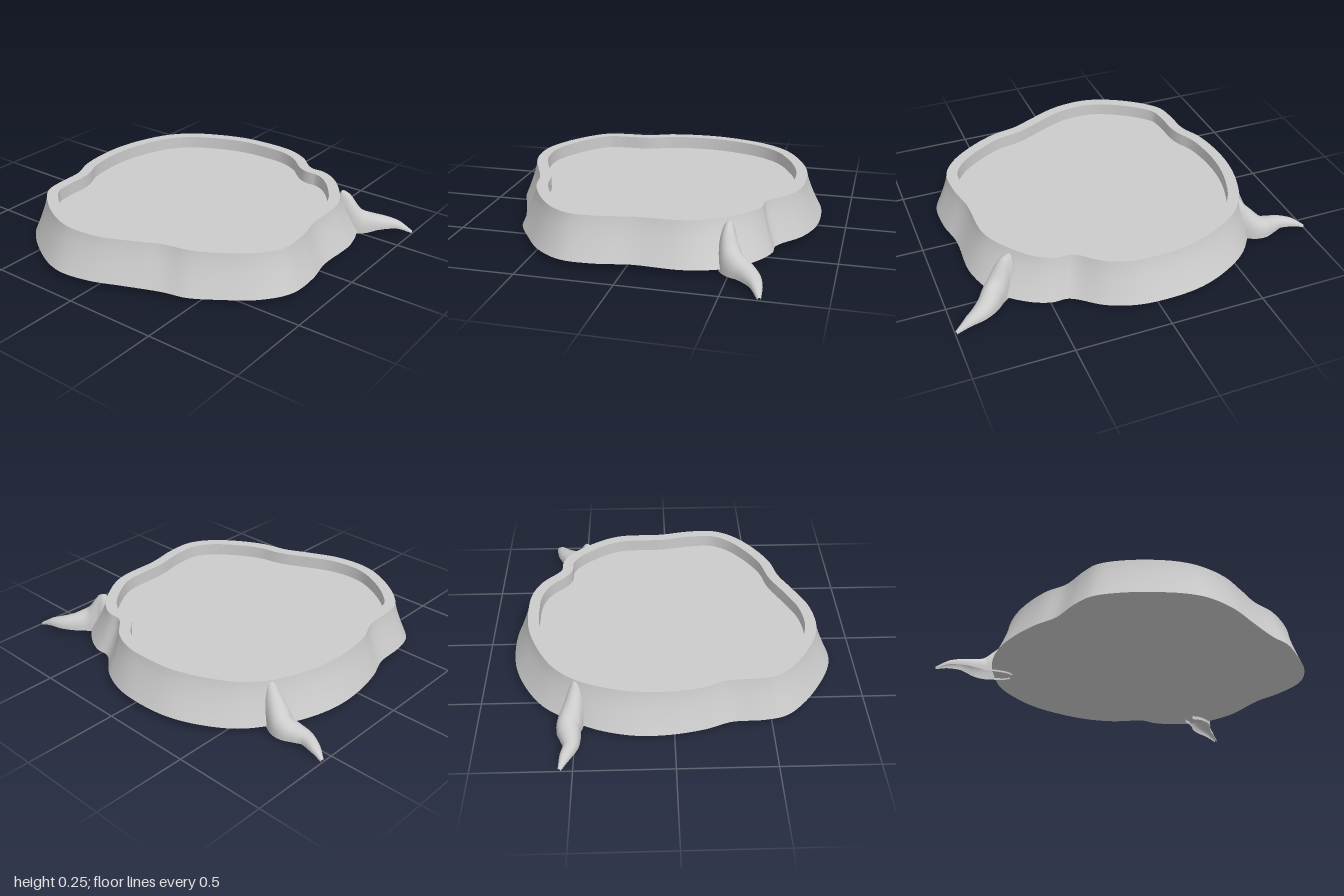
import * as THREE from 'three';

const V = (x, y, z) => new THREE.Vector3(x, y, z);
const grey = new THREE.MeshStandardMaterial({ color: 0xcccccc, side: THREE.DoubleSide });
const N = 192; // samples around the outline

// Rim and foot outlines as x, z pairs in hundredths, matched point for point
const RIM = [77.5, -1.5, 76.5, 13, 71.5, 25, 61.5, 37, 61, 45, 57, 53.5, 46, 64, 29.5, 73, 3, 74.5, -13, 77.5, -29, 77.5,
  -40.5, 71, -51, 58.5, -59.5, 42.5, -63, 28, -69.5, 14, -76, -1.5, -78, -17.5, -76, -29, -69.5, -42.5, -60.5, -54.5,
  -52, -61.5, -42, -63.5, -26, -64.5, -14, -69.5, 3, -72, 19, -71.5, 34.5, -68, 49.5, -61.5, 61, -51.5, 70, -36, 76, -18.5];
const FOOT = [86, -4, 84.5, 12, 79, 26.5, 68, 41.5, 67.5, 50.5, 62.5, 61.5, 50.5, 74.5, 30.5, 82, 3, 82, -13, 85, -32, 84.5,
  -47, 75, -58.5, 60, -67, 46, -70, 33.5, -77.5, 14, -84, -2.5, -86.5, -19.5, -84, -31, -76.5, -45.5, -67.5, -58,
  -57.5, -67, -46, -70, -29, -71, -15.5, -76, 3, -79.5, 20, -79.5, 38, -75, 54, -66.5, 67.5, -56, 77.5, -41, 84, -24];

// Smooth closed ring through matched control points
function ring(data) {
  const pts = [];
  for (let i = 0; i < data.length; i += 2) pts.push(V(data[i] / 100, 0, data[i + 1] / 100));
  const curve = new THREE.CatmullRomCurve3(pts, true, 'centripetal');
  return Array.from({ length: N }, (_, i) => curve.getPoint(i / N));
}

// Moves a ring inwards along its normals
function inset(points, d) {
  return points.map((p, i) => {
    const t = points[(i + 2) % N].clone().sub(points[(i + N - 2) % N]).normalize();
    return V(p.x - t.z * d, 0, p.z + t.x * d);
  });
}

// Skins a list of equally long point rows into one smooth surface
function skin(rows, closed) {
  const n = rows[0].length, pos = [], idx = [];
  const cols = closed ? n : n - 1;
  rows.forEach(r => r.forEach(p => pos.push(p.x, p.y, p.z)));
  for (let r = 0; r < rows.length - 1; r++) {
    for (let i = 0; i < cols; i++) {
      const j = (i + 1) % n;
      const a = r * n + i, b = r * n + j, c = a + n, d = b + n;
      idx.push(a, c, b, b, c, d);
    }
  }
  const g = new THREE.BufferGeometry();
  g.setAttribute('position', new THREE.Float32BufferAttribute(pos, 3));
  g.setIndex(idx);
  g.computeVertexNormals();
  return g;
}

// Horizontal plate filling a ring, facing up or down
function plate(points, y, up, hole) {
  const flat = r => r.map(p => new THREE.Vector2(p.x, up ? -p.z : p.z));
  const shape = new THREE.Shape(flat(points));
  if (hole) shape.holes.push(new THREE.Path(flat(hole)));
  return new THREE.ShapeGeometry(shape).rotateX(up ? -Math.PI / 2 : Math.PI / 2).translate(0, y, 0);
}

// Arched, tapering root from stations [x, z, halfWidth, bottom, top]
function root(stations) {
  const path = new THREE.CatmullRomCurve3(stations.map(s => V(s[0], 0, s[1])));
  const size = new THREE.CatmullRomCurve3(stations.map(s => V(s[2], s[3], s[4])));
  const rows = [], steps = 48, arc = 20;
  for (let k = 0; k <= steps; k++) {
    const p = path.getPoint(k / steps), s = size.getPoint(k / steps);
    const t = path.getTangent(k / steps);
    const row = [];
    for (let i = 0; i <= arc; i++) {
      const a = Math.PI * i / arc;
      const w = Math.cos(a) * Math.max(s.x, 0.004);
      const y = s.y + (s.z - s.y) * Math.pow(Math.max(Math.sin(a), 0), 0.75);
      row.push(V(p.x - t.z * w, Math.max(y, 0), p.z + t.x * w));
    }
    rows.push(row);
  }
  return skin(rows, false);
}

export function createModel() {
  const group = new THREE.Group();
  const add = (name, geometry) => {
    const m = new THREE.Mesh(geometry, grey);
    m.name = name;
    group.add(m);
  };
  const top = 0.25, bottom = 0.03, floorY = 0.18;
  const rim = ring(RIM), foot = ring(FOOT), inner = inset(rim, 0.06);
  const at = (r, y) => r.map(p => V(p.x, y, p.z));

  // Flared outer wall, wider towards the foot
  const wall = [];
  for (let k = 0; k <= 8; k++) {
    const t = k / 8, w = Math.pow(1 - t, 1.3);
    wall.push(rim.map((p, i) => V(p.x + (foot[i].x - p.x) * w, bottom + (top - bottom) * t, p.z + (foot[i].z - p.z) * w)));
  }
  add('outerWall', skin(wall, true));
  add('rim', plate(rim, top, true, inner));
  add('innerWall', skin([at(inner, top), at(inner, floorY)], true));
  add('floor', plate(inner, floorY, true));
  add('underside', plate(foot, bottom, false));

  // Two gnarled roots hugging the wall
  add('frontRoot', root([
    [0.475, 0.63, 0.03, 0.01, 0.2], [0.48, 0.655, 0.045, 0.01, 0.24], [0.487, 0.695, 0.052, 0.012, 0.225],
    [0.525, 0.755, 0.06, 0.015, 0.135], [0.585, 0.805, 0.055, 0.022, 0.1], [0.63, 0.86, 0.045, 0.025, 0.08],
    [0.66, 0.92, 0.03, 0.025, 0.06], [0.685, 0.995, 0.008, 0, 0.012]]));
  add('backRoot', root([
    [0.485, -0.585, 0.025, 0.02, 0.2], [0.49, -0.61, 0.045, 0.02, 0.245], [0.505, -0.66, 0.058, 0.02, 0.19],
    [0.53, -0.735, 0.063, 0.02, 0.118], [0.52, -0.8, 0.053, 0.022, 0.092], [0.515, -0.86, 0.04, 0.025, 0.076],
    [0.54, -0.935, 0.028, 0.025, 0.058], [0.565, -1, 0.008, 0.005, 0.016]]));
  return group;
}
